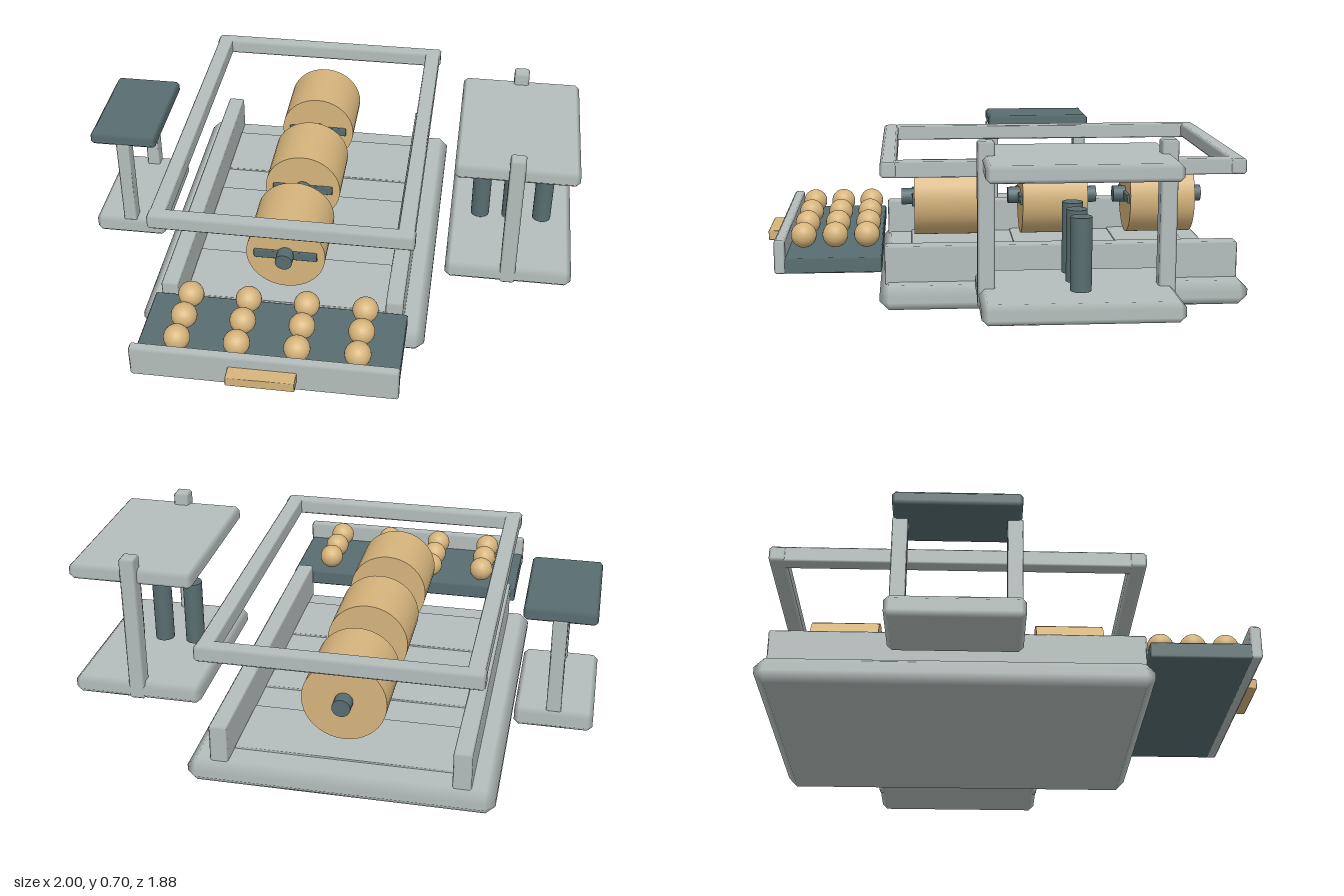
import * as THREE from 'three';
import { ConvexGeometry } from 'three/addons/geometries/ConvexGeometry.js';

const paint = (name, color) => Object.assign(new THREE.MeshStandardMaterial({ color }), { name });

// Box from min/max ranges with softly shaded chamfered edges
function chamferBox([x0, x1], [y0, y1], [z0, z1], bevel) {
  const half = [(x1 - x0) / 2, (y1 - y0) / 2, (z1 - z0) / 2];
  const points = [];
  for (let axis = 0; axis < 3; axis++)
    for (const sx of [-1, 1]) for (const sy of [-1, 1]) for (const sz of [-1, 1])
      points.push(new THREE.Vector3(
        ...[sx, sy, sz].map((s, i) => s * (half[i] - (i === axis ? 0 : bevel)))));
  const geo = new ConvexGeometry(points);
  const pos = geo.attributes.position, nor = geo.attributes.normal;
  // every corner point lies on exactly one main face: use that face's normal
  for (let i = 0; i < pos.count; i++) {
    const p = [pos.getX(i), pos.getY(i), pos.getZ(i)];
    nor.setXYZ(i, ...p.map((v, k) => (Math.abs(Math.abs(v) - half[k]) < 1e-5 ? Math.sign(v) : 0)));
  }
  return geo.translate((x0 + x1) / 2, (y0 + y1) / 2, (z0 + z1) / 2);
}

export function createModel() {
  const root = new THREE.Group();
  const steel = paint('pale steel', 0xb4bebc);
  const dark = paint('dark slate', 0x586d70);
  const tan = paint('warm tan', 0xd6b47c);

  const add = (name, geo, mat) => {
    const mesh = new THREE.Mesh(geo, mat);
    mesh.name = name;
    root.add(mesh);
    return mesh;
  };
  const box = (name, mat, x, y, z, bevel = 0.006) => add(name, chamferBox(x, y, z, bevel), mat);
  const midX = -0.127;

  // Main bed with side rails
  box('bedBase', steel, [-0.69, 0.435], [0, 0.095], [-0.942, 0.48], 0.035);
  for (const [name, x0, x1] of [['rightRail', -0.603, -0.535], ['leftRail', 0.28, 0.348]])
    box(name, steel, [x0, x1], [0.085, 0.235], [-0.91, 0.46]);

  // Raised rectangular frame
  const frameY = [0.507, 0.568];
  box('frameFront', steel, [-0.635, 0.382], frameY, [0.408, 0.472], 0.01);
  box('frameBack', steel, [-0.635, 0.382], frameY, [-0.93, -0.866], 0.01);
  box('frameRight', steel, [-0.63, -0.568], frameY, [-0.88, 0.42], 0.006);
  box('frameLeft', steel, [0.315, 0.377], frameY, [-0.88, 0.42], 0.006);

  // Three drums, each with axle, cross bar and floor pad
  for (const z of [-0.675, -0.232, 0.21]) {
    box('floorPad', steel, [-0.535, 0.28], [0.085, 0.103], [z - 0.147, z + 0.147], 0.003);
    const drum = add('drum', new THREE.CylinderGeometry(0.156, 0.156, 0.266, 40), tan);
    drum.rotation.x = Math.PI / 2;
    drum.position.set(midX, 0.335, z);
    const axle = add('axle', new THREE.CylinderGeometry(0.034, 0.034, 0.37, 20), dark);
    axle.rotation.x = Math.PI / 2;
    axle.position.set(midX, 0.338, z);
    box('crossBar', dark, [-0.252, -0.002], [0.318, 0.356], [z + 0.1, z + 0.143], 0.004);
  }

  // Pulled-out drawer with balls
  box('drawerTray', dark, [-0.622, 0.368], [0.14, 0.2], [0.47, 0.845], 0.006);
  box('drawerFront', steel, [-0.625, 0.372], [0.14, 0.27], [0.835, 0.878], 0.008);
  box('drawerHandle', tan, [-0.255, 0], [0.188, 0.228], [0.872, 0.935], 0.003);
  for (let col = 0; col < 4; col++)
    for (let row = 0; row < 3; row++)
      add('ball', new THREE.SphereGeometry(0.05, 24, 16), tan)
        .position.set(-0.465 + col * 0.225, 0.256, 0.53 + row * 0.123);

  // Left table: two slabs, two posts, three pistons
  box('tableBase', steel, [0.487, 0.996], [0.103, 0.178], [-0.582, 0.122], 0.022);
  box('tableTop', steel, [0.5, 0.983], [0.592, 0.655], [-0.565, 0.107], 0.016);
  for (const z of [-0.553, 0.093])
    box('tablePost', steel, [0.71, 0.772], [0.107, 0.704], [z - 0.031, z + 0.031], 0.008);
  for (const x of [0.612, 0.741, 0.87])
    add('piston', new THREE.CylinderGeometry(0.038, 0.038, 0.262, 24), dark)
      .position.set(x, 0.326, -0.229);

  // Right stool: slab base, two posts, dark seat
  box('stoolBase', steel, [-1, -0.707], [0.1, 0.178], [-0.473, 0.007], 0.018);
  box('seat', dark, [-0.987, -0.717], [0.542, 0.592], [-0.46, -0.003], 0.012);
  for (const z of [-0.435, -0.027])
    box('stoolPost', steel, [-0.88, -0.825], [0.17, 0.55], [z - 0.028, z + 0.028], 0.005);

  return root;
}
